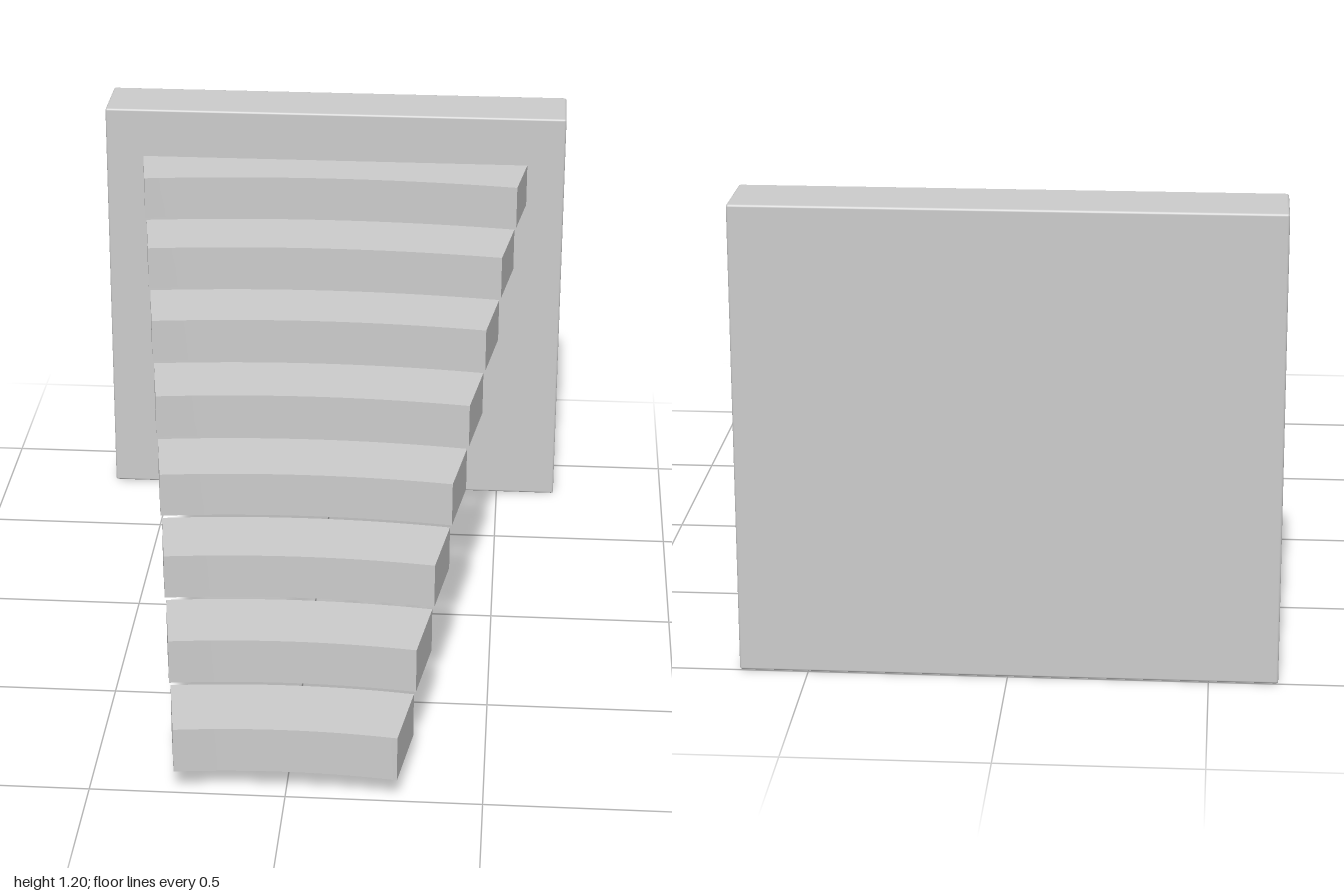
import * as THREE from 'three';
import { toCreasedNormals } from 'three/addons/utils/BufferGeometryUtils.js';
import { RoundedBoxGeometry } from 'three/addons/geometries/RoundedBoxGeometry.js';

const STEPS = 8;
const HALF_ANGLE = THREE.MathUtils.degToRad(8);
const STEP_DEPTH = 0.226;
const STEP_HEIGHT = 0.122;

// Curved slab between two arcs; its front corners lie at (+-halfWidth, z = 0)
function createTreadGeometry(halfWidth) {
  const inner = halfWidth / Math.sin(HALF_ANGLE);
  const centre = -inner * Math.cos(HALF_ANGLE);
  const from = Math.PI / 2 - HALF_ANGLE;
  const to = Math.PI / 2 + HALF_ANGLE;
  const shape = new THREE.Shape();
  shape.absarc(0, centre, inner + STEP_DEPTH, from, to, false);
  shape.absarc(0, centre, inner, to, from, true);
  shape.closePath();
  const geometry = new THREE.ExtrudeGeometry(shape, {
    depth: STEP_HEIGHT, bevelEnabled: false, curveSegments: 16,
  });
  geometry.rotateX(-Math.PI / 2);
  return toCreasedNormals(geometry, Math.PI / 6);
}

export function createModel() {
  const model = new THREE.Group();
  model.name = 'wallStaircase';
  const material = new THREE.MeshStandardMaterial({ color: 0xcccccc });

  // Upright wall with finely eased edges
  const wall = new THREE.Mesh(new RoundedBoxGeometry(1.346, 1.204, 0.2, 2, 0.006), material);
  wall.name = 'wall';
  wall.position.set(0, 0.602, -0.9);
  model.add(wall);

  // Floating steps, widening as they climb toward the wall
  const stairs = new THREE.Group();
  stairs.name = 'stairs';
  for (let i = 0; i < STEPS; i++) {
    const step = new THREE.Mesh(createTreadGeometry(0.283 + 0.0363 * i), material);
    step.name = `step${i + 1}`;
    step.position.set(0, 0.061 + 0.1254 * i, 1 - 0.23 * i);
    stairs.add(step);
  }
  model.add(stairs);
  return model;
}
